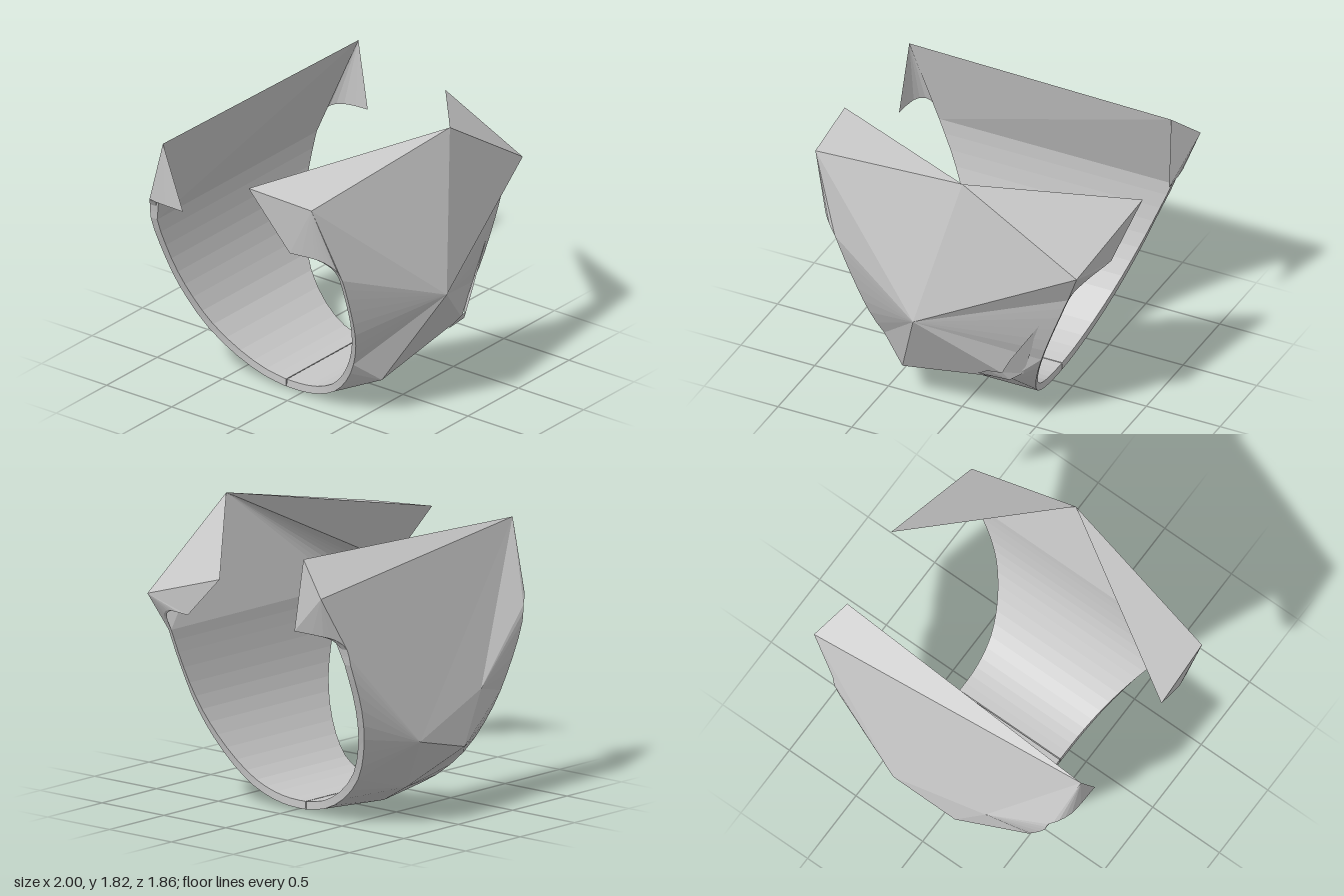
import * as THREE from 'three';

const V = (x, y, z) => new THREE.Vector3(x, y, z);
const CENTRE = V(0, 0.9, -0.07);

// Collects triangles, turned to face away from (+1) or toward (-1) a reference point
class Skin {
  constructor(sign = 1, ref = CENTRE) { this.sign = sign; this.ref = ref; this.p = []; }
  tri(a, b, c) {
    const n = b.clone().sub(a).cross(c.clone().sub(a));
    const m = a.clone().add(b).add(c).divideScalar(3).sub(this.ref);
    const flip = n.dot(m) * this.sign < 0;
    for (const v of flip ? [a, c, b] : [a, b, c]) this.p.push(v.x, v.y, v.z);
  }
  quad(a, b, c, d) { this.tri(a, b, c); this.tri(a, c, d); }
  fan(apex, pts) { for (let i = 0; i + 1 < pts.length; i++) this.tri(apex, pts[i], pts[i + 1]); }
  mesh(name, material) {
    const g = new THREE.BufferGeometry();
    g.setAttribute('position', new THREE.Float32BufferAttribute(this.p, 3));
    g.computeVertexNormals();
    const m = new THREE.Mesh(g, material);
    m.name = name;
    return m;
  }
}

// Edge curves of one half from [y, z, half width], with one point added between each pair
function edges(profile, thickness) {
  const curve = new THREE.CatmullRomCurve3(profile.map(([y, z, w = 0.35 + 0.4 * y]) => V(w, y, z)));
  const points = curve.getPoints(2 * (profile.length - 1));
  const make = (side, outer) => points.map((p, i) => {
    const d = V(0, Math.min(0, p.y - 0.8), p.z + 0.07).normalize();
    const t = outer && i < points.length - 1 ? thickness(d) : 0;
    return V(side * p.x, p.y + d.y * t, p.z + d.z * t);
  });
  return { iL: make(-1, false), iR: make(1, false), oL: make(-1, true), oR: make(1, true) };
}

// Smooth inner band across the width, up to index k
function band(skin, l, r, k) {
  for (let i = 0; i < k; i++) skin.quad(l[i], r[i], r[i + 1], l[i + 1]);
}

// Outer underside, sagging slightly along the middle near the seam
function underside(skin, l, r, k) {
  const mid = (i) => l[i].clone().lerp(r[i], 0.5).add(V(0, -0.02 * (1 - i / k), 0));
  for (let i = 0; i < k; i++) {
    skin.quad(l[i], mid(i), mid(i + 1), l[i + 1]);
    skin.quad(mid(i), r[i], r[i + 1], mid(i + 1));
  }
}

// Narrow rim joining inner and outer edge on both sides, plus the seam face
function rims(e, name, material) {
  const group = new THREE.Group();
  group.name = name;
  for (const [side, a, b] of [[-1, e.iL, e.oL], [1, e.iR, e.oR]]) {
    const s = new Skin(1, V(-side * 50, 0.8, 0));
    for (let i = 0; i + 1 < a.length; i++) s.quad(a[i], a[i + 1], b[i + 1], b[i]);
    group.add(s.mesh(side < 0 ? 'rightRim' : 'leftRim', material));
  }
  const seam = new Skin(1, V(0, 0.05, e.iL[0].z < -0.1 ? -1 : 1));
  seam.quad(e.iL[0], e.iR[0], e.oR[0], e.oL[0]);
  group.add(seam.mesh('seamFace', material));
  return group;
}

function frontHalf(material) {
  const group = new THREE.Group();
  group.name = 'frontHalf';
  const e = edges([
    [0.07, -0.098], [0.072, 0.02], [0.095, 0.14], [0.155, 0.27], [0.27, 0.39], [0.42, 0.49],
    [0.58, 0.56], [0.75, 0.6], [0.95, 0.62], [1.1, 0.625],
    [1.17, 0.62, 0.83], [1.22, 0.59, 0.87], [1.25, 0.54, 0.9], [1.26, 0.47, 0.92], [1.26, 0.36, 0.94],
  ], (d) => 0.022 - 0.028 * d.y);
  const nose = V(-0.12, 0.84, 0.93), peak = V(0.13, 1.82, 0.76);
  const cornerR = V(-0.97, 1.61, 0.55), tipR = V(-1, 1.64, 0.09);
  const cornerL = V(0.89, 1.33, 0.73), tipL = V(1, 1.54, 0.05);
  const lowR = V(-0.35, 0.26, 0.61), lowL = V(0.4, 0.41, 0.64);

  // Faceted outside
  const out = new Skin();
  underside(out, e.oL, e.oR, 6);
  out.quad(e.oL[6], e.oR[6], lowL, lowR);
  out.fan(lowR, e.oL.slice(6, 11));
  out.fan(lowL, e.oR.slice(6, 13));
  out.tri(nose, lowR, lowL);
  out.fan(nose, [lowR, ...e.oL.slice(10, 19), cornerR, peak, cornerL]);
  out.fan(nose, [lowL, ...e.oR.slice(12, 19), cornerL]);
  out.fan(cornerR, [...e.oL.slice(18), tipR, peak]);
  out.fan(cornerL, [...e.oR.slice(18), tipL, peak]);
  group.add(out.mesh('frontShell', material));

  // Inside band and flat panel
  const inn = new Skin(-1);
  band(inn, e.iL, e.iR, 18);
  inn.fan(cornerL, e.iR.slice(18));
  inn.fan(peak, [tipR, ...e.iL.slice(18).reverse(), e.iR[18], cornerL]);
  group.add(inn.mesh('frontLining', material));

  // Small jagged flaps low on the left
  const flap = new Skin();
  flap.quad(V(0.61, 0.88, 0.67), V(0.42, 0.58, 0.7), V(0.37, 0.48, 0.7), V(0.47, 0.45, 0.61));
  flap.fan(V(0.4, 0.41, 0.66), [V(0.2, 0.42, 0.69), V(0.28, 0.48, 0.72), V(0.37, 0.48, 0.7), V(0.47, 0.45, 0.61)]);
  group.add(flap.mesh('sideFlaps', material));
  group.add(rims(e, 'frontRims', material));
  return group;
}

function backHalf(material) {
  const group = new THREE.Group();
  group.name = 'backHalf';
  const e = edges([
    [0.07, -0.104], [0.1, -0.25], [0.19, -0.42], [0.34, -0.58], [0.52, -0.68], [0.7, -0.74],
    [0.9, -0.77], [1.1, -0.775],
    [1.2, -0.765, 0.81], [1.26, -0.73, 0.86], [1.28, -0.65, 0.9], [1.285, -0.48, 0.915],
  ], () => 0.05);
  const topR = V(-0.92, 1.7, -0.63), topL = V(0.9, 1.74, -0.54), cornerL = V(0.99, 1.54, -0.76);
  const hump = V(0.27, 0.55, -0.93), lowHump = V(-0.17, 0.44, -0.9), sideHump = V(-0.37, 0.76, -0.86);
  const heel = V(0.1, 0.2, -0.67), arch = V(0, 0.06, -0.4);

  // Faceted outside
  const out = new Skin();
  underside(out, e.oL, e.oR, 2);
  out.fan(arch, [...e.oL.slice(2, 5), heel, ...e.oR.slice(2, 5).reverse(), e.oL[2]]);
  out.fan(heel, [...e.oL.slice(4, 7), lowHump, hump, ...e.oR.slice(4, 7).reverse()]);
  out.fan(lowHump, [...e.oL.slice(6, 11), sideHump, hump]);
  out.fan(sideHump, [...e.oL.slice(10, 17), topR, hump]);
  out.fan(hump, [...e.oR.slice(6, 17), cornerL, topR]);
  out.fan(topR, e.oL.slice(16));
  out.fan(cornerL, [...e.oR.slice(16), topL, topR]);
  group.add(out.mesh('backShell', material));

  // Inside band and flat panel
  const inn = new Skin(-1);
  band(inn, e.iL, e.iR, 14);
  inn.fan(topR, [...e.iL.slice(14).reverse(), topL]);
  inn.fan(topL, [e.iL[14], ...e.iR.slice(14)]);
  group.add(inn.mesh('backLining', material));
  group.add(rims(e, 'backRims', material));
  return group;
}

export function createModel() {
  const grey = new THREE.MeshStandardMaterial({ color: 0xc8c8c8, flatShading: true, side: THREE.DoubleSide });
  grey.name = 'plain grey';
  const model = new THREE.Group();
  model.name = 'openFacetedBand';
  model.add(frontHalf(grey), backHalf(grey));
  return model;
}
